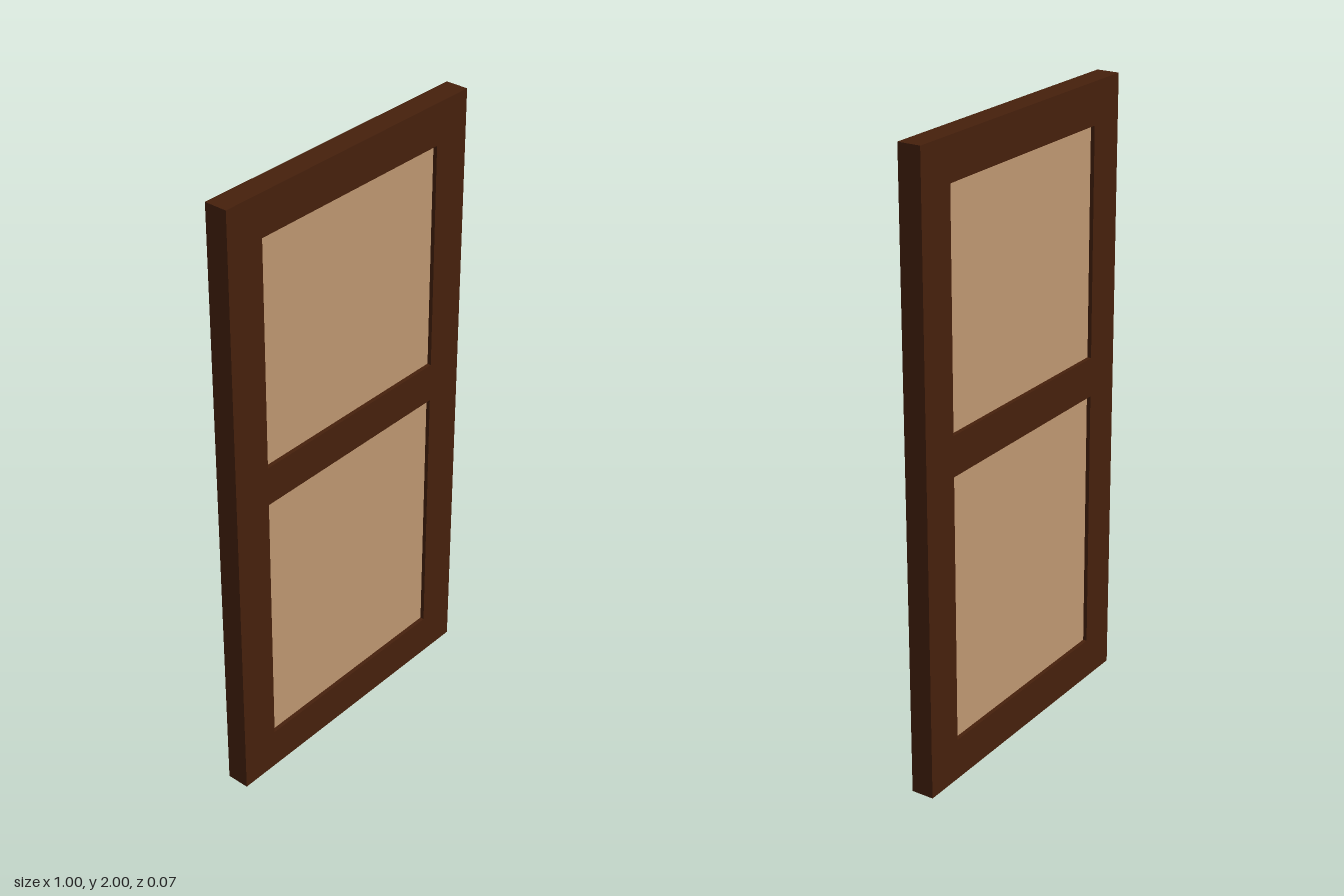
import * as THREE from 'three';

export function createModel() {
  const model = new THREE.Group();
  model.name = 'panelDoor';

  const darkWood = new THREE.MeshStandardMaterial({ color: 0x46200c });
  darkWood.name = 'dark wood';
  const lightWood = new THREE.MeshStandardMaterial({ color: 0xbf9771 });
  lightWood.name = 'light wood';

  const halfWidth = 0.5, height = 2, depth = 0.074;
  const openingHalf = 0.368, panelDepth = 0.048;
  const openings = [
    { name: 'lowerPanel', bottom: 0.136, top: 1.004 },
    { name: 'upperPanel', bottom: 1.132, top: 1.867 },
  ];

  // Adds a rectangle to a shape or a hole path
  const rectangle = (path, half, bottom, top) => {
    path.moveTo(-half, bottom);
    path.lineTo(half, bottom);
    path.lineTo(half, top);
    path.lineTo(-half, top);
    path.closePath();
    return path;
  };

  // Frame: one slab with two openings
  const outline = rectangle(new THREE.Shape(), halfWidth, 0, height);
  for (const o of openings) {
    outline.holes.push(rectangle(new THREE.Path(), openingHalf, o.bottom, o.top));
  }
  const frameGeometry = new THREE.ExtrudeGeometry(outline, { depth, bevelEnabled: false });
  frameGeometry.translate(0, 0, -depth / 2);
  const frame = new THREE.Mesh(frameGeometry, darkWood);
  frame.name = 'frame';
  model.add(frame);

  // Panels: set back a little from both faces of the frame
  for (const o of openings) {
    const panel = new THREE.Mesh(
      new THREE.BoxGeometry(openingHalf * 2, o.top - o.bottom, panelDepth),
      lightWood
    );
    panel.position.y = (o.bottom + o.top) / 2;
    panel.name = o.name;
    model.add(panel);
  }

  return model;
}
